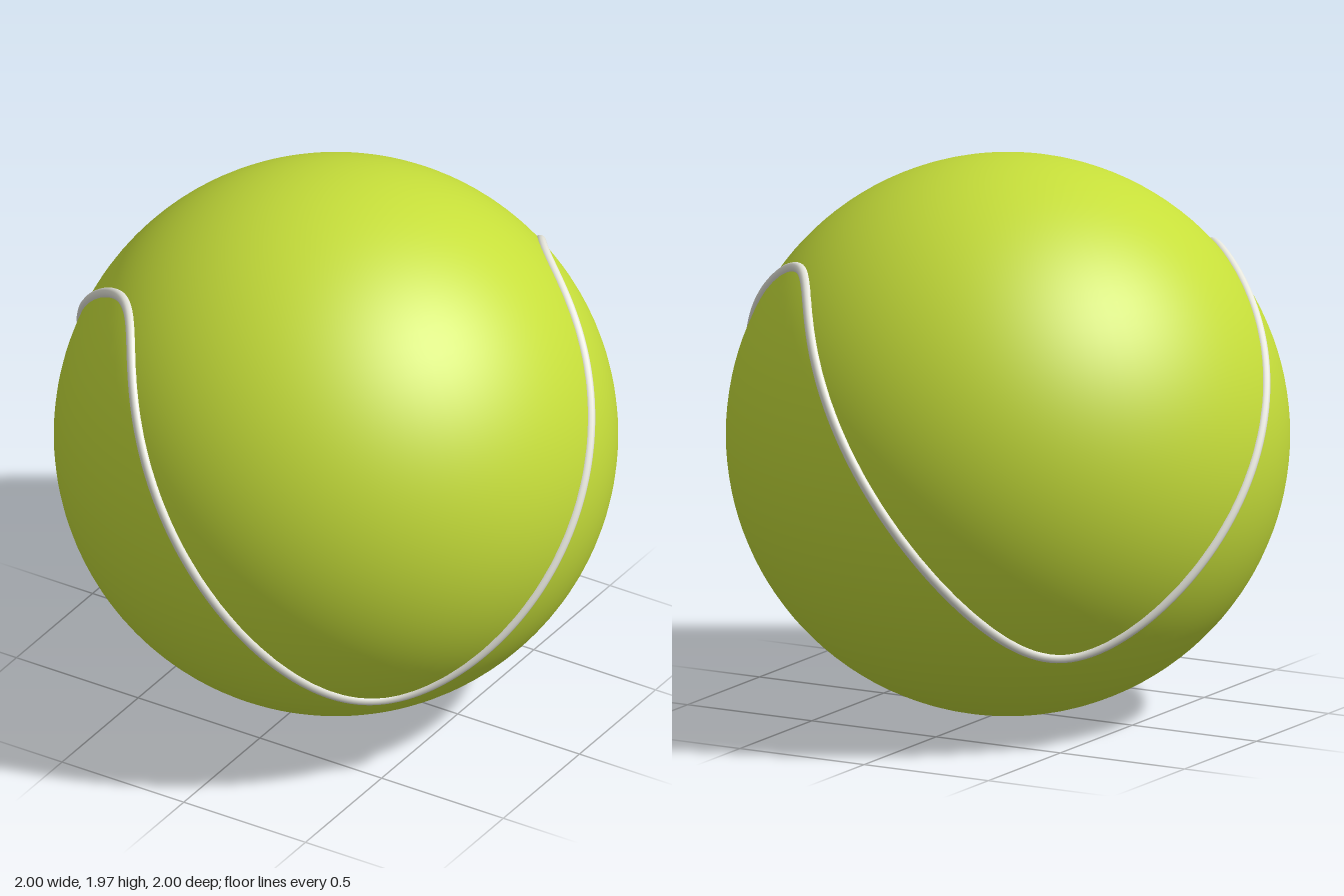
import * as THREE from 'three';

const RADIUS = 0.983;       // ball radius
const SEAM_PATH = 0.981;    // distance of the seam's centre line from the ball's centre
const SEAM_RADIUS = 0.019;
const SWING = 0.702;        // highest latitude of the seam, in radians

// Seam line: goes once round the ball while swinging up and down twice
class SeamCurve extends THREE.Curve {
  getPoint(t, target = new THREE.Vector3()) {
    const around = t * Math.PI * 2;
    const latitude = -SWING * Math.sin(2 * around);
    return target.setFromSphericalCoords(SEAM_PATH, Math.PI / 2 - latitude, around);
  }
}

export function createModel() {
  const felt = new THREE.MeshStandardMaterial({ color: 0xc6de3a });
  felt.name = 'yellowGreenFelt';
  const rubber = new THREE.MeshStandardMaterial({ color: 0xe6e6dc });
  rubber.name = 'whiteSeam';

  const group = new THREE.Group();
  group.name = 'tennisBall';

  // Round body
  const ball = new THREE.Mesh(new THREE.SphereGeometry(RADIUS, 96, 64), felt);
  ball.name = 'ball';

  // Raised closed seam, half sunk into the body
  const seam = new THREE.Mesh(new THREE.TubeGeometry(new SeamCurve(), 320, SEAM_RADIUS, 12, true), rubber);
  seam.name = 'seam';

  for (const mesh of [ball, seam]) {
    mesh.position.y = RADIUS;
    group.add(mesh);
  }
  return group;
}
